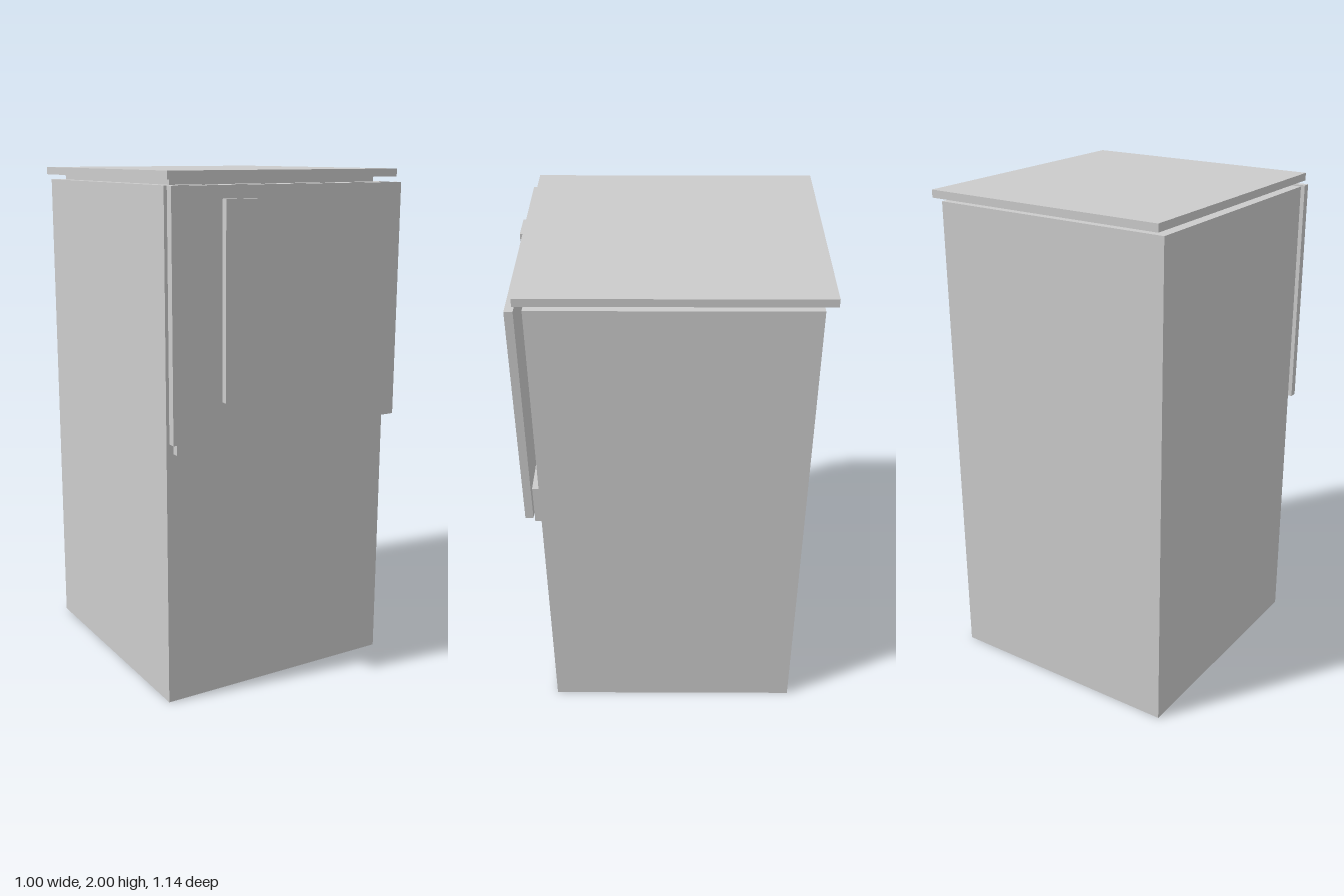
import * as THREE from 'three';

export function createModel() {
  const group = new THREE.Group();
  const lightGrey = new THREE.MeshStandardMaterial({ color: 0xcccccc });
  lightGrey.name = 'lightGrey';

  // Box given by its [min, max] extent on each axis
  function addBox(name, [x0, x1], [y0, y1], [z0, z1]) {
    const mesh = new THREE.Mesh(new THREE.BoxGeometry(x1 - x0, y1 - y0, z1 - z0), lightGrey);
    mesh.position.set((x0 + x1) / 2, (y0 + y1) / 2, (z0 + z1) / 2);
    mesh.name = name;
    group.add(mesh);
  }

  // Cabinet with a recessed neck under the overhanging top
  addBox('cabinet', [-0.497, 0.493], [0, 1.95], [-0.531, 0.487]);
  addBox('neck', [-0.45, 0.447], [1.95, 1.97], [-0.489, 0.44]);
  addBox('topPanel', [-0.5, 0.5], [1.97, 2], [-0.573, 0.519]);

  // Door held clear of the cabinet by a rail along its lower edge
  addBox('doorRail', [-0.47, 0.466], [0.99, 1.155], [0.491, 0.516]);
  addBox('door', [-0.5, 0.5], [1.037, 1.95], [0.516, 0.547]);
  addBox('handle', [-0.297, -0.169], [1.175, 1.903], [0.547, 0.572]);

  return group;
}
